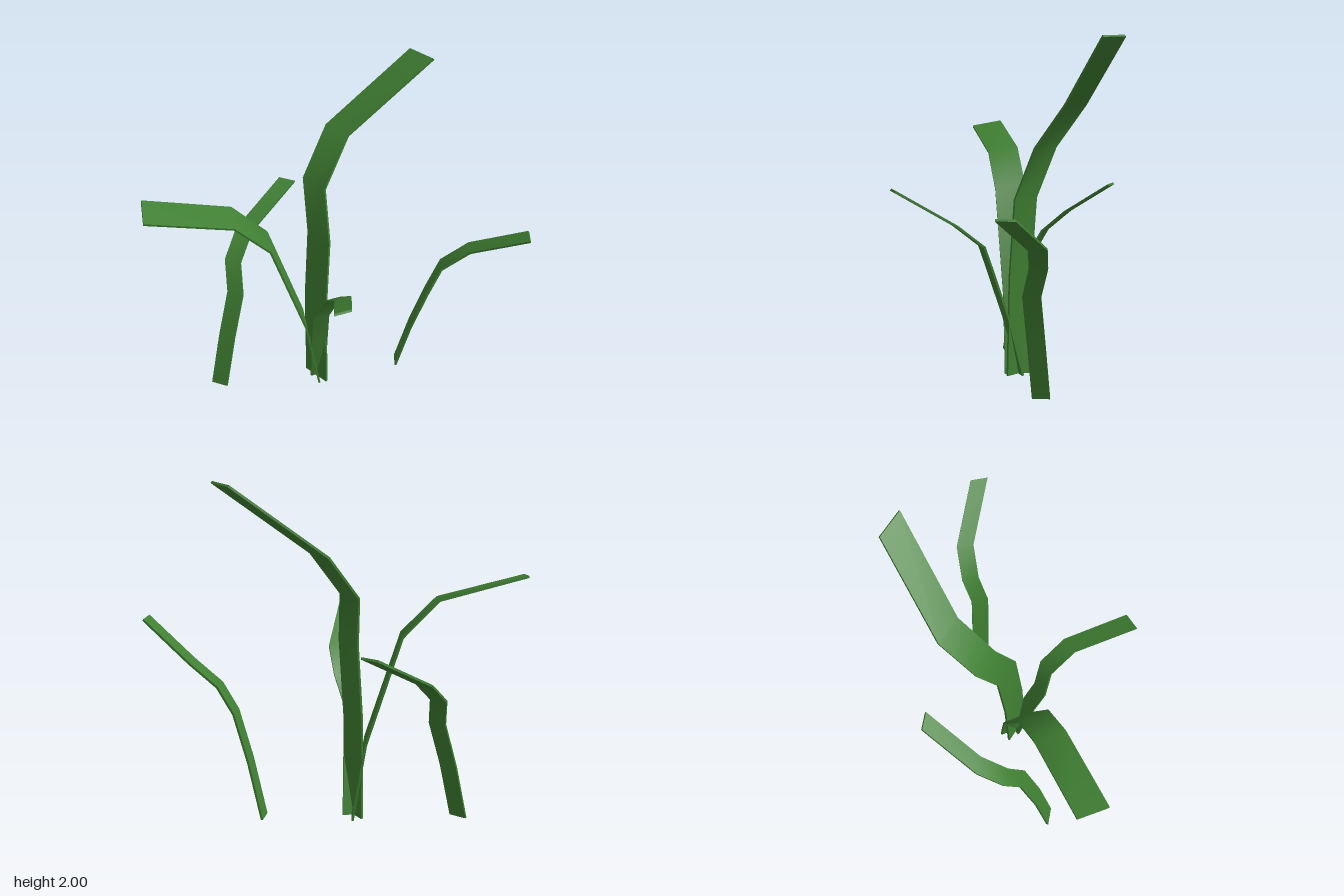
import * as THREE from 'three';
import { toCreasedNormals } from 'three/addons/utils/BufferGeometryUtils.js';

const THICKNESS = 0.013;

// Each blade: half-width vector [x, z], roll (drop of one edge at the tip) and centreline points
const BLADES = [
  { name: 'tallBlade', half: [0.089, 0], roll: 0, path: [
    [-0.183, 0.005, 0], [-0.19, 0.6, -0.008], [-0.195, 1.06, -0.045],
    [-0.293, 1.355, -0.108], [-0.317, 1.61, -0.32], [-0.106, 2, -0.79]] },
  { name: 'frontBlade', half: [0.075, 0.053], roll: 0.016, path: [
    [-0.19, 0.005, -0.01], [-0.233, 0.465, 0.05], [-0.332, 1.09, 0.225],
    [-0.434, 1.295, 0.397], [-0.69, 1.42, 0.82]] },
  { name: 'rightBlade', half: [0.048, -0.02], roll: 0, path: [
    [-0.555, 0.005, 0.485], [-0.556, 0.34, 0.4], [-0.57, 0.62, 0.3],
    [-0.648, 0.79, 0.24], [-0.7, 0.92, 0.095], [-0.693, 1.12, -0.265]] },
  { name: 'backLeftBlade', half: [0.035, 0.037], roll: 0, path: [
    [0.078, 0.005, -0.45], [0.157, 0.34, -0.488], [0.237, 0.62, -0.532],
    [0.27, 0.79, -0.615], [0.388, 0.92, -0.725], [0.725, 1.12, -0.838]] },
  { name: 'frontLeftBlade', half: [-0.02, 0.047], roll: 0, path: [
    [-0.185, 0.005, -0.015], [-0.12, 0.34, 0.035], [-0.047, 0.62, 0.09],
    [0.037, 0.79, 0.078], [0.187, 0.92, 0.143], [0.435, 1.12, 0.398]] },
];

// Sweeps a thin rectangle along the centreline, keeping the width direction fixed
function bladeGeometry({ half, roll, path }) {
  const points = path.map((p) => new THREE.Vector3(...p));
  const last = points.length - 1;
  const positions = [];
  const index = [];
  const quad = (a, b, c, d) => index.push(a, b, c, a, c, d);

  points.forEach((p, i) => {
    const w = new THREE.Vector3(half[0], -roll * i / last, half[1]);
    const before = points[i].clone().sub(points[Math.max(i - 1, 0)]).normalize();
    const after = points[Math.min(i + 1, last)].clone().sub(points[i]).normalize();
    const tangent = before.add(after);
    const n = w.clone().cross(tangent).setLength(THICKNESS / 2);
    for (const [sw, sn] of [[-1, 1], [1, 1], [1, -1], [-1, -1]]) {
      const v = p.clone().addScaledVector(w, sw).addScaledVector(n, sn);
      positions.push(v.x, Math.max(v.y, 0), v.z);
    }
    if (i === last) return;
    for (let k = 0; k < 4; k++) {
      const a = i * 4 + k;
      const b = i * 4 + (k + 1) % 4;
      quad(a, b, b + 4, a + 4);
    }
  });

  // End caps
  quad(3, 2, 1, 0);
  const t = last * 4;
  quad(t, t + 1, t + 2, t + 3);

  const geometry = new THREE.BufferGeometry();
  geometry.setAttribute('position', new THREE.Float32BufferAttribute(positions, 3));
  geometry.setIndex(index);
  return toCreasedNormals(geometry, Math.PI / 3);
}

export function createModel() {
  const group = new THREE.Group();
  group.name = 'grassTuft';
  const green = new THREE.MeshStandardMaterial({ color: 0x3f7f32 });
  for (const blade of BLADES) {
    const mesh = new THREE.Mesh(bladeGeometry(blade), green);
    mesh.name = blade.name;
    group.add(mesh);
  }
  return group;
}
